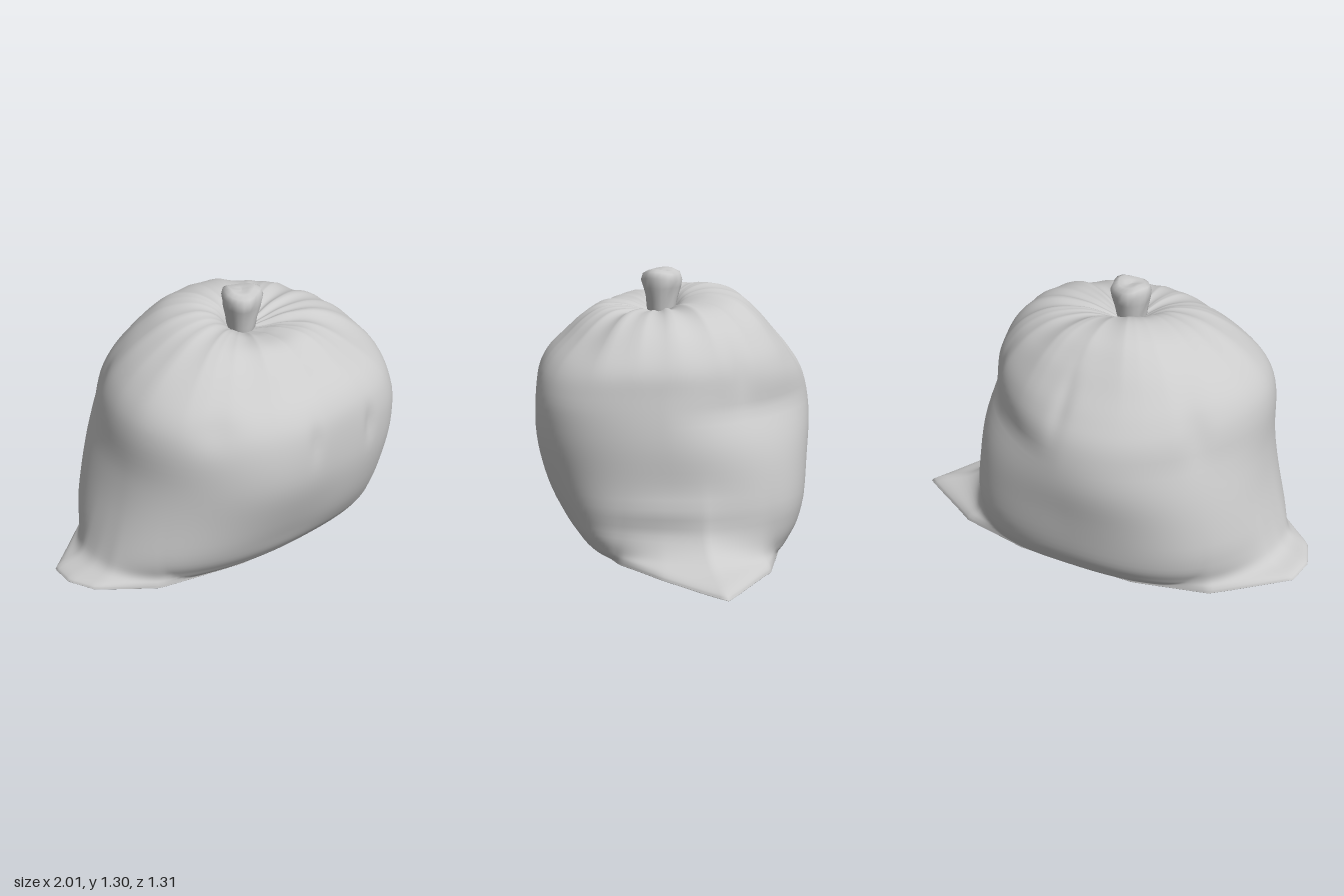
import * as THREE from 'three';

const CX = -0.01, CZ = 0.05; // axis of the tied neck
const SEG = 240, SUB = 5;

// Cross-sections: y, left x, right x, front z, back z, share of ground outline, pleat depth, back lift
const ROWS = [
  [0.056, CX, CX, CZ, CZ, 0, 0, 0],
  [0.055, -0.4, 0.35, 0.2, -0.25, 0, 0, 0],
  [0.052, -0.74, 0.6, 0.37, -0.46, 0.9, 0, 0],
  [0.06, -0.8, 0.64, 0.405, -0.51, 1, 0, 0],
  [0.08, -0.8, 0.65, 0.435, -0.535, 0.87, 0, 0],
  [0.115, -0.8, 0.65, 0.465, -0.56, 0.42, 0, 0],
  [0.2, -0.805, 0.65, 0.52, -0.6, 0.16, 0, 0],
  [0.4, -0.765, 0.655, 0.6, -0.635, 0.02, 0, 0],
  [0.6, -0.73, 0.66, 0.65, -0.655, 0, 0, 0],
  [0.8, -0.71, 0.645, 0.645, -0.625, 0, 0, 0],
  [0.92, -0.67, 0.63, 0.595, -0.565, 0, 0.1, 0],
  [1.02, -0.59, 0.57, 0.495, -0.49, 0, 0.3, 0],
  [1.095, -0.48, 0.48, 0.41, -0.415, 0, 0.55, 0.015],
  [1.135, -0.35, 0.36, 0.33, -0.32, 0, 0.8, 0.055],
  [1.135, -0.22, 0.22, 0.23, -0.19, 0, 1, 0.085],
  [1.115, -0.13, 0.12, 0.15, -0.07, 0, 0.7, 0.07],
  [1.1, -0.07, 0.05, 0.1, -0.01, 0, 0.2, 0],
];

// Outline on the ground, with the two flattened corners of the bag (x, z)
const GROUND = [[1, -0.22], [0.81, 0.06], [0.63, 0.25], [0.36, 0.38], [-0.3, 0.385], [-0.72, 0.27],
  [-0.95, 0.08], [-1, -0.05], [-0.98, -0.18], [-0.66, -0.42], [-0.3, -0.5], [0.3, -0.5], [0.65, -0.43]]
  .map(([x, z]) => [x - CX, z - CZ]);

// Distance from the axis to the ground outline in one direction
function groundRadius(c, s) {
  for (let i = 0; i < GROUND.length; i++) {
    const [ax, az] = GROUND[i], [bx, bz] = GROUND[(i + 1) % GROUND.length];
    if (ax * s - az * c >= -1e-9 && c * bz - s * bx >= -1e-9)
      return (ax * bz - az * bx) / (c * (bz - az) - s * (bx - ax));
  }
  return 0;
}

// Smooth interpolation through the cross-section table
function rowAt(t) {
  const n = ROWS.length - 1, i = Math.min(Math.floor(t), n - 1), f = t - i;
  const at = k => ROWS[Math.max(0, Math.min(n, k))];
  return ROWS[0].map((_, c) => {
    const [a, b, d, e] = [at(i - 1)[c], at(i)[c], at(i + 1)[c], at(i + 2)[c]];
    return b + 0.5 * f * (d - a + f * (2 * a - 5 * b + 4 * d - e + f * (3 * (b - d) + e - a)));
  });
}

const angleDiff = (a, b) => Math.atan2(Math.sin(a - b), Math.cos(a - b));
const bell = x => Math.exp(-x * x);

// Gathered cloth: narrow ridges of uneven spacing, strongest at the front and right
function pleat(a) {
  const ridge = (k, p) => 1 - 2 * Math.abs(Math.sin(k * a + p + 0.9 * Math.sin(2 * a)));
  const strength = 0.65 + 0.35 * Math.cos(a - 0.4);
  return strength * (0.5 * ridge(5, 0.4) + 0.4 * ridge(9, 1.3) + 0.3 * ridge(3, 2));
}

// Pinched dents: angle, height, angular width, vertical width, depth
const DENTS = [
  [1.72, 0.77, 0.06, 0.08, 0.01], [1.13, 0.73, 0.05, 0.07, 0.015],
  [0.1, 0.21, 0.45, 0.05, 0.012], [-0.1, 0.3, 0.4, 0.05, -0.012],
  [2.5, 0.9, 0.15, 0.08, 0.015], [-2.5, 0.85, 0.1, 0.12, 0.015],
  [-1.5, 0.95, 0.07, 0.12, 0.012], [-0.6, 0.9, 0.08, 0.12, 0.01],
];

function bagPoint(row, a) {
  const [y, xl, xr, zf, zb, ground, fold, lift] = row;
  const c = Math.cos(a), s = Math.sin(a);
  const rx = Math.max(0.0003, Math.abs((c > 0 ? xr : xl) - CX));
  const rz = Math.max(0.0003, Math.abs((s > 0 ? zf : zb) - CZ));
  // Squarer at the front right, and low down at the back; slanted at the upper back right
  const upper = THREE.MathUtils.clamp((1.15 - y) / 0.4, 0, 1);
  const lower = THREE.MathUtils.clamp((0.72 - y) / 0.45, 0, 1);
  const n = s > 0 ? 2 + (c > 0 ? upper : 0)
    : c > 0 ? 2 - 0.27 * upper + 1.5 * lower : 2 + 0.5 * lower;
  let r = Math.pow(Math.pow(Math.abs(c) / rx, n) + Math.pow(Math.abs(s) / rz, n), -1 / n);
  r += ground * Math.max(0, groundRadius(c, s) - r);

  // Soft unevenness, dents and pleats
  const size = Math.min(1, r / 0.5);
  const soft = THREE.MathUtils.clamp((y - 0.06) / 0.2, 0, 1) * size;
  r += soft * 0.005 * (Math.sin(5 * a + 6 * y) + Math.sin(3 * a - 9 * y + 1));
  for (const [da, dy, wa, wy, depth] of DENTS)
    r -= soft * depth * bell(angleDiff(a, da) / wa) * bell((y - dy) / wy);
  const p = pleat(a) * fold;
  r *= 1 + 0.03 * p;

  // Sloping base, drooping right corner, curled left corner, raised cloth behind the knot
  const x = CX + r * c, z = CZ + r * s;
  const low = Math.max(0, 1 - y / 0.3);
  const tipR = bell(angleDiff(a, -0.26) / 0.2), tipL = bell(angleDiff(a, Math.PI + 0.1) / 0.25);
  const behind = Math.pow(0.5 + 0.5 * Math.cos(angleDiff(a, -2.1)), 1.6);
  const h = y + 0.014 * p + lift * behind
    + low * (0.06 * z - 0.025 * x + ground * (0.015 * tipL - 0.018 * tipR));
  return [x, h, z];
}

// Skin closed loops of points from bottom to top
function loft(levels, segments, pointAt) {
  const pos = [], idx = [];
  for (let j = 0; j <= levels; j++)
    for (let i = 0; i < segments; i++) pos.push(...pointAt(j, (i / segments) * Math.PI * 2));
  for (let j = 0; j < levels; j++)
    for (let i = 0; i < segments; i++) {
      const k = (i + 1) % segments, a = j * segments, b = a + segments;
      idx.push(a + i, b + i, a + k, a + k, b + i, b + k);
    }
  const g = new THREE.BufferGeometry();
  g.setAttribute('position', new THREE.Float32BufferAttribute(pos, 3));
  g.setIndex(idx);
  g.computeVertexNormals();
  return g;
}

export function createModel() {
  const group = new THREE.Group();
  group.name = 'tiedBag';
  const material = new THREE.MeshStandardMaterial({ color: 0xcccccc, side: THREE.DoubleSide });

  // Filled sack with flat base and gathered top
  const levels = (ROWS.length - 1) * SUB;
  const rows = Array.from({ length: levels + 1 }, (_, j) => rowAt(j / SUB));
  const sack = new THREE.Mesh(loft(levels, SEG, (j, a) => bagPoint(rows[j], a)), material);
  sack.geometry.computeBoundingBox();
  sack.geometry.translate(0, -sack.geometry.boundingBox.min.y, 0);
  sack.name = 'sack';

  // Lumpy knot: radius, height
  const profile = [[0.06, 1.08], [0.07, 1.12], [0.075, 1.16], [0.088, 1.21], [0.095, 1.25],
    [0.085, 1.28], [0.06, 1.293], [0.03, 1.288], [0.001, 1.285]];
  const knot = new THREE.Mesh(loft(profile.length - 1, 20, (j, a) => {
    const [r, y] = profile[j];
    const k = r * (1 + 0.06 * Math.sin(3 * a + 1) + 0.04 * Math.sin(5 * a + j));
    return [CX + k * Math.cos(a), y + 0.1 * r * Math.sin(2 * a + 0.6) * (j > 3 ? 1 : 0), CZ + k * Math.sin(a)];
  }), material);
  knot.name = 'knot';

  group.add(sack, knot);
  return group;
}
